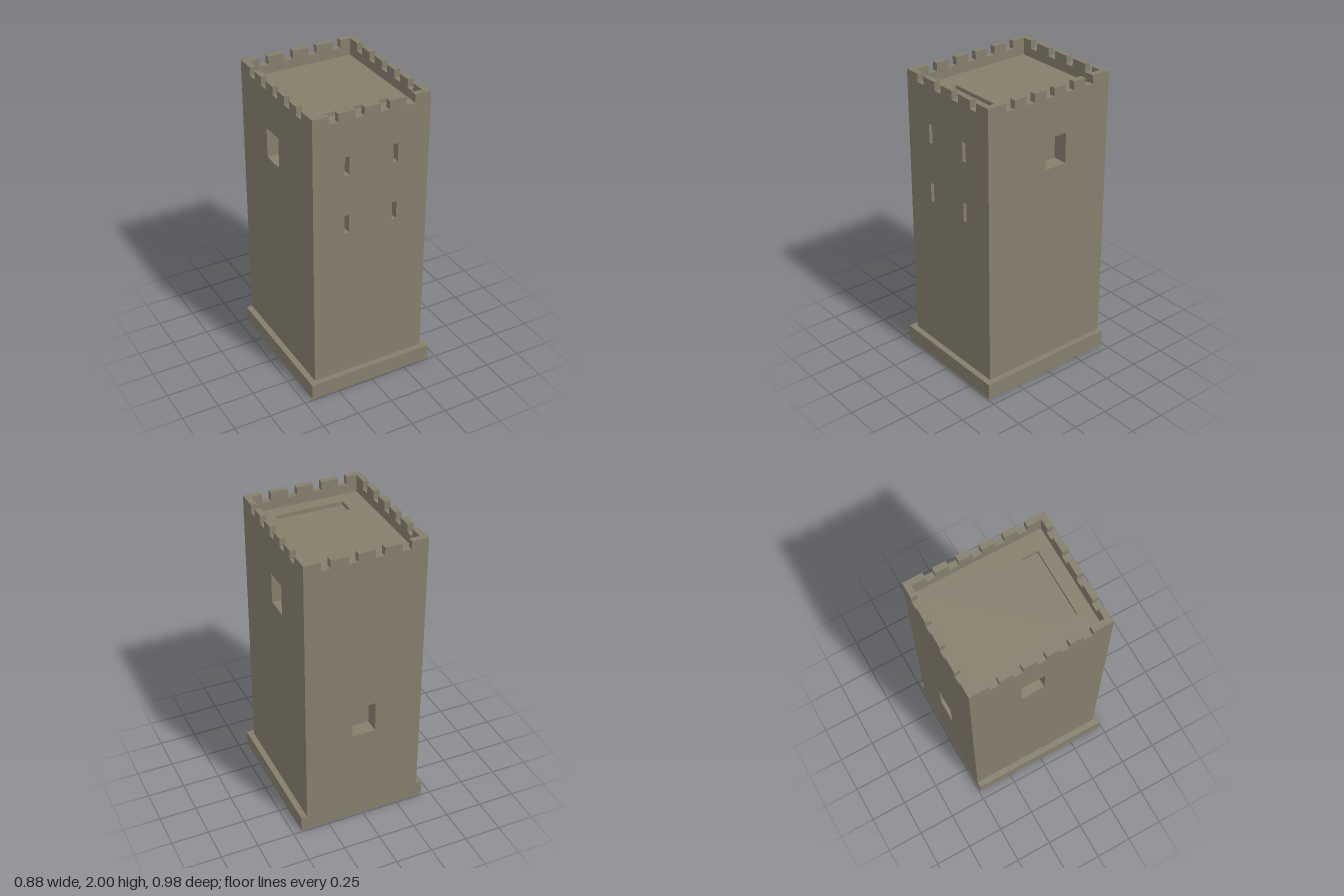
import * as THREE from 'three';

const stone = new THREE.MeshStandardMaterial({ color: 0x857e6c });
stone.name = 'stone';

// Rectangles are [x0, x1, y0, y1]
function addHole(shape, [x0, x1, y0, y1]) {
  const p = new THREE.Path();
  p.moveTo(x0, y0).lineTo(x0, y1).lineTo(x1, y1).lineTo(x1, y0).closePath();
  shape.holes.push(p);
}

// Upright slab with an optional row of gaps along the top and window holes
function slab([x0, x1, y0, y1], depth, holes = [], gaps = []) {
  const s = new THREE.Shape();
  s.moveTo(x0, y0).lineTo(x1, y0).lineTo(x1, y1);
  for (const [a, b] of [...gaps].reverse()) {
    s.lineTo(b, y1).lineTo(b, y1 - 0.055).lineTo(a, y1 - 0.055).lineTo(a, y1);
  }
  s.lineTo(x0, y1).closePath();
  holes.forEach((h) => addHole(s, h));
  return new THREE.ExtrudeGeometry(s, { depth, bevelEnabled: false });
}

export function createModel() {
  const tower = new THREE.Group();
  tower.name = 'tower';
  const add = (name, geometry) => {
    const mesh = new THREE.Mesh(geometry, stone);
    mesh.name = name;
    tower.add(mesh);
  };
  const box = (name, x0, x1, y0, y1, z0, z1) => add(name,
    new THREE.BoxGeometry(x1 - x0, y1 - y0, z1 - z0)
      .translate((x0 + x1) / 2, (y0 + y1) / 2, (z0 + z1) / 2));

  const low = 0.11, top = 2, slotFloor = 1.86, roof = 1.885;
  const skin = 0.04, lining = 0.06;

  // Openings and battlement gaps
  const slits = [];
  for (const x of [-0.17, 0.165]) {
    slits.push([x - 0.016, x + 0.016, 1.58, 1.705], [x - 0.016, x + 0.016, 1.175, 1.3]);
  }
  const backWindow = [[-0.08, 0.08, 0.67, 0.885]];
  const sideWindow = [[-0.01, 0.15, 1.475, 1.68]];
  const endGaps = [-0.26, -0.085, 0.085, 0.26].map((x) => [x - 0.03, x + 0.03]);
  const sideGaps = [-0.285, -0.132, 0.02, 0.173, 0.327].map((u) => [u - 0.031, u + 0.031]);

  // Front and back walls: battlemented skin with a lining that deepens the openings
  for (const [name, holes, zSkin, zLining] of [
    ['front', slits, 0.41, 0.35], ['back', backWindow, -0.49, -0.45],
  ]) {
    add(name + 'Wall', slab([-0.4, 0.4, low, top], skin, holes, endGaps).translate(0, 0, zSkin));
    add(name + 'Lining', slab([-0.36, 0.36, low, slotFloor], lining, holes).translate(0, 0, zLining));
  }

  // Side walls, drawn with u = -z and then turned
  for (const [name, xSkin, xLining] of [['left', 0.36, 0.3], ['right', -0.4, -0.36]]) {
    add(name + 'Wall', slab([-0.41, 0.45, low, top], skin, sideWindow, sideGaps)
      .rotateY(Math.PI / 2).translate(xSkin, 0, 0));
    add(name + 'Lining', slab([-0.35, 0.39, low, slotFloor], lining, sideWindow)
      .rotateY(Math.PI / 2).translate(xLining, 0, 0));
  }

  // Solid core closing the recesses, and the roof with its long slot
  box('core', -0.3, 0.3, low, slotFloor, -0.39, 0.35);
  add('roof', slab([-0.36, 0.36, -0.41, 0.45], roof - slotFloor, [[-0.22, 0.24, -0.32, -0.21]])
    .rotateX(-Math.PI / 2).translate(0, slotFloor, 0));

  // Plinth, flush at the back, with grooves along its underside
  const grooves = [-0.35, -0.25, -0.15, 0.03, 0.15, 0.25, 0.35]
    .map((x) => [x - 0.035, x + 0.035, -0.44, 0.46]);
  add('plinth', slab([-0.44, 0.44, -0.49, 0.49], 0.07, grooves).rotateX(-Math.PI / 2));
  box('plinthTop', -0.44, 0.44, 0.07, low, -0.49, 0.49);

  return tower;
}
